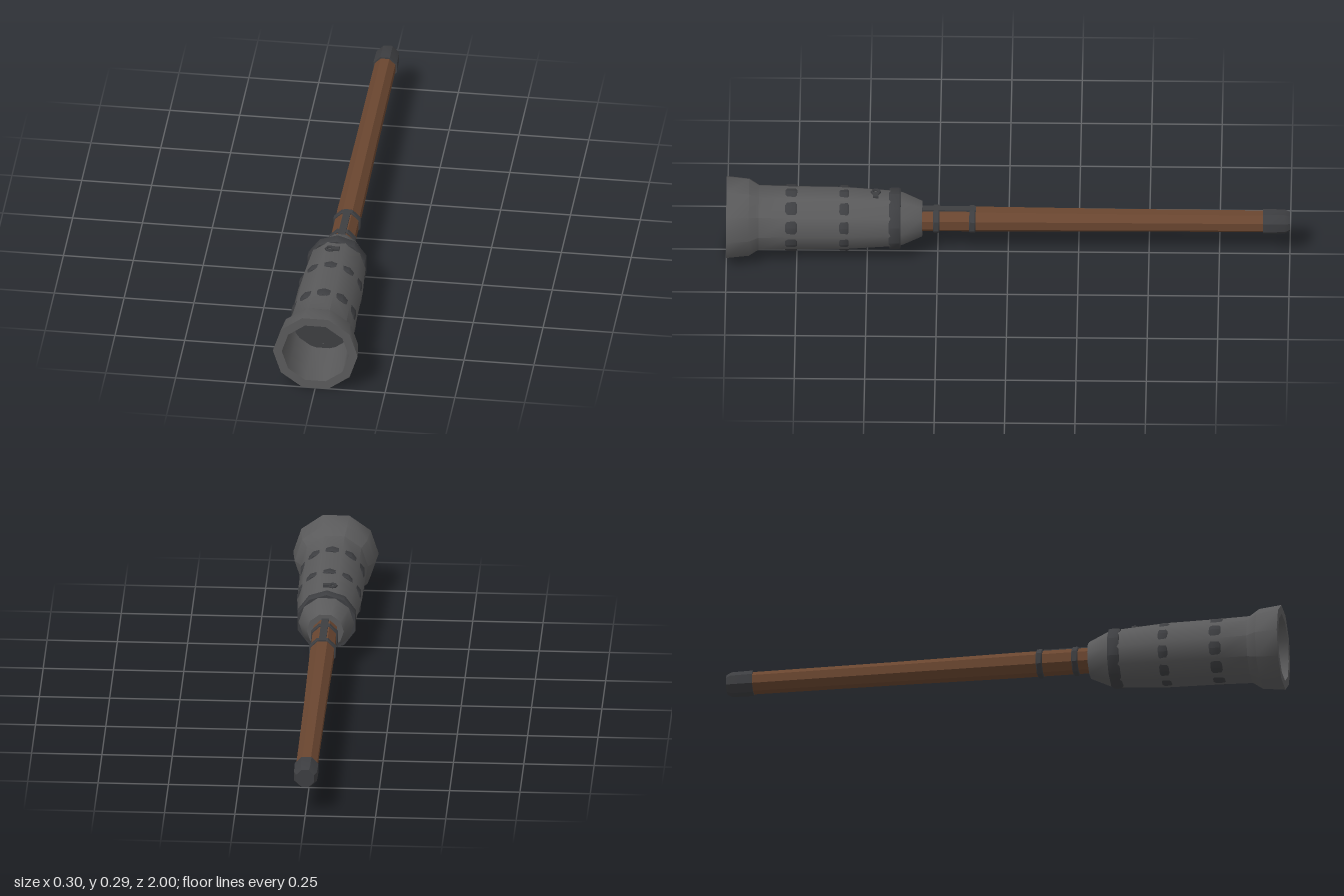
import * as THREE from 'three';
import { toCreasedNormals } from 'three/addons/utils/BufferGeometryUtils.js';

const AXIS_Y = 0.145;
const iron = new THREE.MeshStandardMaterial({ color: 0x5a5a5b });
const darkIron = new THREE.MeshStandardMaterial({ color: 0x3d3e41 });
const wood = new THREE.MeshStandardMaterial({ color: 0x6a4630 });

// Faceted turning along z from [radius, z] pairs, listed back to front
function turned(name, profile, sides, start, material) {
  const points = profile.map(([r, z]) => new THREE.Vector2(r, z));
  const geo = new THREE.LatheGeometry(points, sides, start).rotateX(Math.PI / 2);
  const mesh = new THREE.Mesh(toCreasedNormals(geo, 0.68), material);
  mesh.name = name;
  return mesh;
}

// Closed ring with slightly bevelled edges
function band(name, z, width, radius, inner, sides, start) {
  const h = width / 2, b = width * 0.15;
  return turned(name, [
    [inner, z - h], [radius - 0.003, z - h], [radius, z - h + b],
    [radius, z + h - b], [radius - 0.003, z + h], [inner, z + h],
  ], sides, start, darkIron);
}

export function createModel() {
  const model = new THREE.Group();
  model.name = 'handCannon';
  const gun = new THREE.Group();
  gun.name = 'gun';
  gun.position.y = AXIS_Y;
  model.add(gun);

  // Ten-sided barrel: breech cone, body, flared muzzle and bore
  gun.add(turned('barrel', [
    [0, 0.305], [0.066, 0.305], [0.098, 0.375], [0.104, 0.42], [0.115, 0.58],
    [0.117, 0.77], [0.12, 0.885], [0.143, 0.92], [0.152, 1],
    [0.12, 1], [0.113, 0.76],
  ], 10, Math.PI / 2, iron));
  gun.add(turned('boreFloor', [[0.1135, 0.761], [0, 0.761]], 10, Math.PI / 2, darkIron));

  // Barrel hoops are turned half a side, so the barrel's corners cut through them
  for (const [z, width, radius] of [[0.77, 0.042, 0.119], [0.582, 0.034, 0.1165], [0.402, 0.042, 0.109]]) {
    gun.add(band('barrelHoop', z, width, radius, 0.09, 10, 0));
  }

  // Touch hole: small raised ring with a short spout on top of the barrel
  const touchHole = new THREE.Group();
  touchHole.name = 'touchHole';
  const ring = new THREE.Mesh(new THREE.TorusGeometry(0.013, 0.006, 5, 8).rotateX(Math.PI / 2), darkIron);
  ring.name = 'touchHoleRing';
  ring.position.x = -0.017;
  const spout = new THREE.Mesh(new THREE.BoxGeometry(0.026, 0.012, 0.02), darkIron);
  spout.name = 'touchHoleSpout';
  spout.position.x = 0.004;
  touchHole.add(ring, spout);
  touchHole.position.set(0, 0.104, 0.47);
  gun.add(touchHole);

  // Eight-sided wooden pole, tapering slightly to the back
  const flat = Math.PI / 8;
  gun.add(turned('pole', [
    [0, -0.98], [0.0395, -0.98], [0.0415, -0.4], [0.0455, 0.05], [0.0455, 0.32], [0, 0.32],
  ], 8, flat, wood));

  // Iron cap at the back end
  gun.add(turned('endCap', [
    [0, -1], [0.035, -1], [0.044, -0.982], [0.0455, -0.905], [0.038, -0.905],
  ], 8, flat, darkIron));

  // Pole bands and the strap that joins them to the breech
  for (const z of [0.255, 0.127]) {
    gun.add(band('poleBand', z, 0.022, 0.052, 0.04, 8, flat));
  }
  const strap = new THREE.Mesh(new THREE.BoxGeometry(0.026, 0.01, 0.2), darkIron);
  strap.name = 'strap';
  strap.position.set(0, 0.043, 0.215);
  gun.add(strap);

  return model;
}
